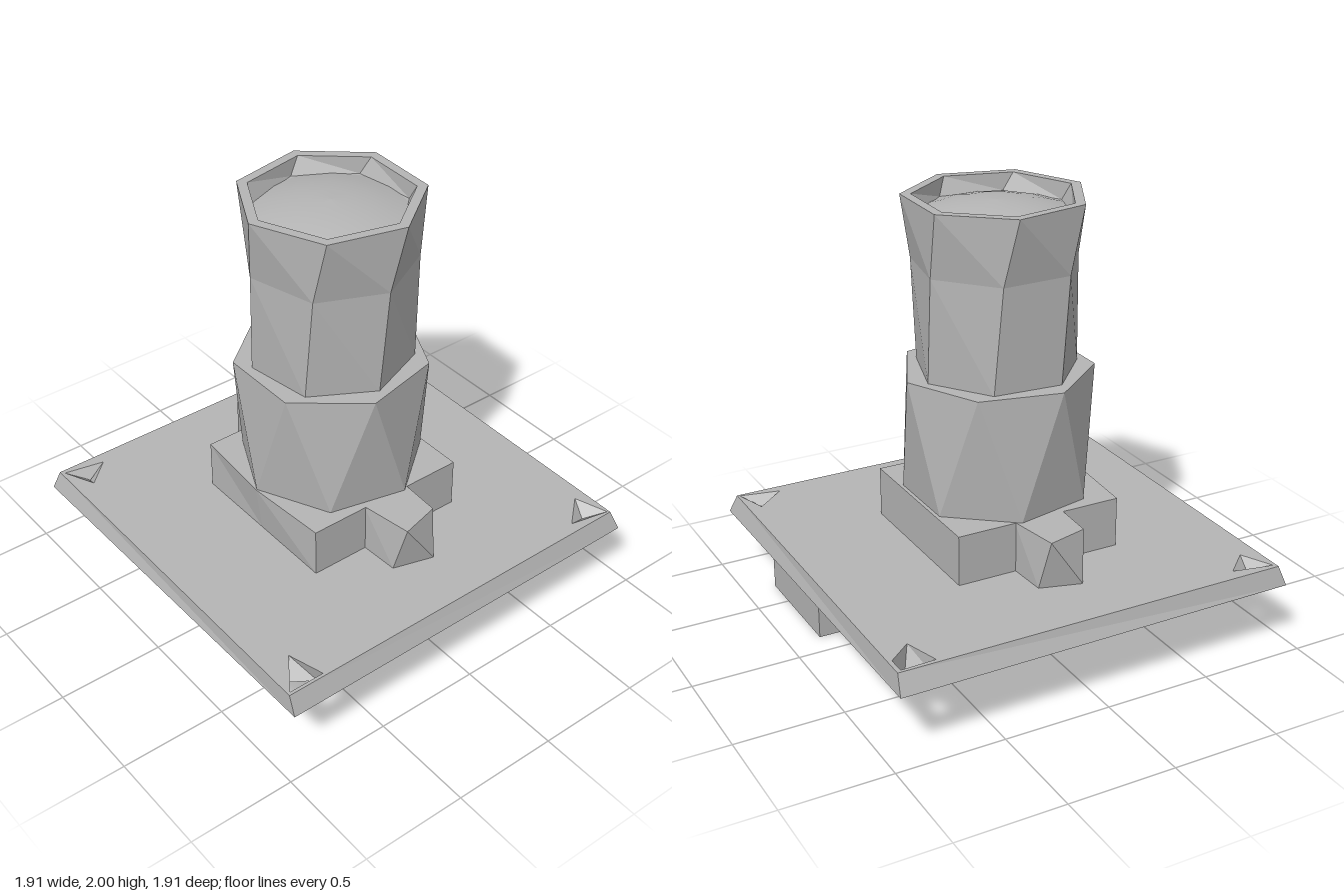
import * as THREE from 'three';

const grey = new THREE.MeshStandardMaterial({ color: 0xb5b5b5 });
grey.name = 'plain grey';

// Regular ring of [x, z] points, angle measured from the front towards +x
function ring(sides, radius, degrees) {
  return Array.from({ length: sides }, (_, i) => {
    const a = (degrees / 180 + (2 * i) / sides) * Math.PI;
    return [radius * Math.sin(a), radius * Math.cos(a)];
  });
}

// Faceted solid from levels { y, loops: [outline, ...holes] }, lowest first
function solid(name, levels) {
  const flat = (loop) => loop.map(([x, z]) => new THREE.Vector2(x, -z));
  const reversed = levels[0].loops.map((loop, i) =>
    (THREE.ShapeUtils.area(flat(loop)) > 0) !== (i === 0));
  const stack = levels.map(({ y, loops }) => ({
    y, loops: loops.map((l, i) => (reversed[i] ? [...l].reverse() : l)),
  }));
  const pos = [];
  const put = (...pts) => pts.forEach((p) => pos.push(...p));
  const at = (level, k, i) => {
    const loop = level.loops[k], p = loop[i % loop.length];
    return [p[0], level.y, p[1]];
  };
  // Walls
  for (let s = 0; s + 1 < stack.length; s++) {
    const lo = stack[s], hi = stack[s + 1];
    lo.loops.forEach((loop, k) => loop.forEach((_, i) => {
      put(at(lo, k, i), at(lo, k, i + 1), at(hi, k, i));
      put(at(lo, k, i + 1), at(hi, k, i + 1), at(hi, k, i));
    }));
  }
  // Caps
  const cap = (level, down) => {
    const [outline, ...holes] = level.loops;
    const all = level.loops.flat().map(([x, z]) => [x, level.y, z]);
    for (const [a, b, c] of THREE.ShapeUtils.triangulateShape(flat(outline), holes.map(flat)))
      down ? put(all[a], all[c], all[b]) : put(all[a], all[b], all[c]);
  };
  cap(stack[0], true);
  cap(stack[stack.length - 1], false);
  const g = new THREE.BufferGeometry();
  g.setAttribute('position', new THREE.Float32BufferAttribute(pos, 3));
  g.computeVertexNormals();
  const mesh = new THREE.Mesh(g, grey);
  mesh.name = name;
  return mesh;
}

export function createModel() {
  const model = new THREE.Group();
  model.name = 'cameraModule';

  // Board with bevelled rim and four angular mounting holes
  const topHoles = [
    [[-0.9, -0.92], [-0.82, -0.92], [-0.73, -0.81], [-0.895, -0.76]],
    [[0.74, -0.87], [0.9, -0.92], [0.86, -0.73]],
    [[-0.86, 0.72], [-0.75, 0.84], [-0.9, 0.91]],
    [[0.9, 0.75], [0.73, 0.8], [0.9, 0.92]],
  ];
  const bottomHoles = [
    [[-0.91, -0.91], [-0.84, -0.92], [-0.77, -0.84], [-0.9, -0.76]],
    [[0.8, -0.93], [0.91, -0.8], [0.77, -0.8]],
    [[-0.81, 0.77], [-0.8, 0.91], [-0.92, 0.8]],
    [[0.85, 0.74], [0.77, 0.86], [0.91, 0.92]],
  ];
  model.add(solid('board', [
    { y: 0.31, loops: [[[-0.945, 0.955], [0.955, 0.94], [0.945, -0.96], [-0.96, -0.95]], ...bottomHoles] },
    { y: 0.4, loops: [[[-0.92, 0.925], [0.915, 0.935], [0.91, -0.93], [-0.915, -0.94]], ...topHoles] },
  ]));

  // Connector under the board
  const connector = new THREE.Mesh(new THREE.BoxGeometry(0.55, 0.31, 0.24), grey);
  connector.name = 'connector';
  connector.position.set(0.395, 0.155, -0.73);
  model.add(connector);

  // Square lens mount, its front edge leaning out in the middle
  const back = [[0.4, 0.4], [0.4, -0.4], [-0.4, -0.4], [-0.4, 0.4]];
  model.add(solid('lensMount', [
    { y: 0.4, loops: [[[0, 0.4], ...back]] },
    { y: 0.635, loops: [[[0, 0.43], ...back]] },
  ]));

  // Twisted side lugs
  for (const s of [1, -1]) {
    const turn = (loop) => loop.map(([x, z]) => [s * x, s * z]);
    model.add(solid(s > 0 ? 'leftLug' : 'rightLug', [
      { y: 0.4, loops: [turn([[0.39, 0.12], [0.585, 0.11], [0.64, -0.08], [0.39, -0.12]])] },
      { y: 0.635, loops: [turn([[0.39, 0.12], [0.64, 0.08], [0.59, -0.11], [0.39, -0.12]])] },
    ]));
  }

  // Seven-sided lower barrel, turned half a side from bottom to top
  model.add(solid('lowerBarrel', [
    { y: 0.635, loops: [ring(7, 0.425, 0)] },
    { y: 1.215, loops: [ring(7, 0.44, 180 / 7)] },
  ]));

  // Twisted upper barrel with a recessed mouth
  model.add(solid('upperBarrel', [
    { y: 1.21, loops: [ring(7, 0.37, -17)] },
    { y: 1.7, loops: [ring(7, 0.38, -11)] },
    { y: 2, loops: [ring(7, 0.413, -2)] },
    { y: 2, loops: [ring(7, 0.365, -2)] },
    { y: 1.92, loops: [ring(7, 0.345, 5)] },
  ]));

  // Domed lens in the mouth
  const profile = [0.335, 0.26, 0.18, 0.09, 0].map((r) =>
    new THREE.Vector2(r, 1.975 - 0.055 * (r / 0.335) ** 2));
  const lens = new THREE.Mesh(new THREE.LatheGeometry(profile, 14), grey);
  lens.name = 'lens';
  model.add(lens);

  return model;
}
